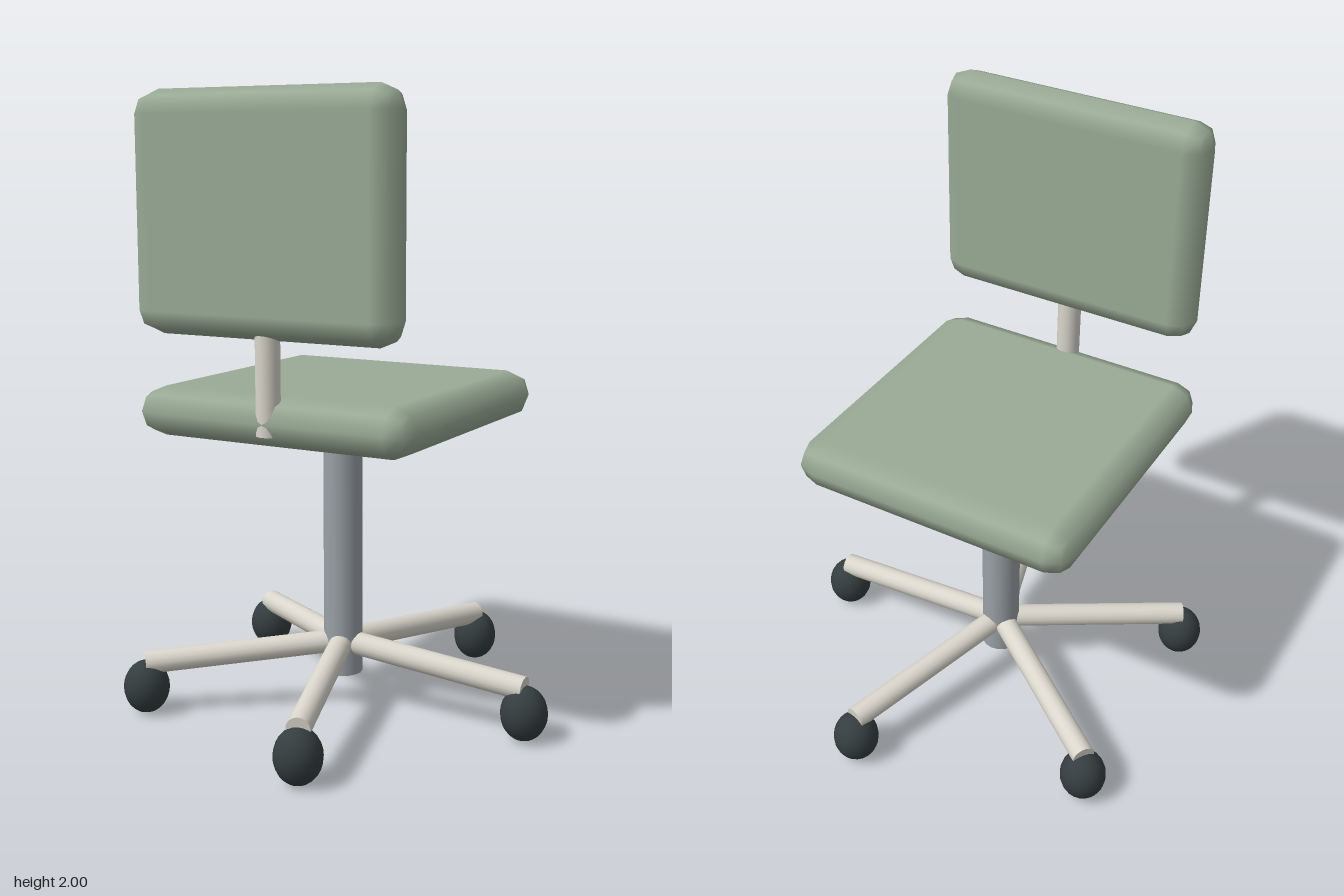
import * as THREE from 'three';
import { RoundedBoxGeometry } from 'three/addons/geometries/RoundedBoxGeometry.js';

const material = (name, color) => {
  const m = new THREE.MeshStandardMaterial({ color });
  m.name = name;
  return m;
};

export function createModel() {
  const sage = material('sage fabric', 0x9aab96);
  const steel = material('grey steel', 0x9ba1a7);
  const ivory = material('ivory metal', 0xdad6cc);
  const rubber = material('dark rubber', 0x343d3f);

  const chair = new THREE.Group();
  chair.name = 'officeChair';
  chair.position.x = -0.064; // the five-star base is wider on one side

  const add = (name, geometry, mat, x, y, z) => {
    const mesh = new THREE.Mesh(geometry, mat);
    mesh.name = name;
    mesh.position.set(x, y, z);
    chair.add(mesh);
    return mesh;
  };

  // round bar between two points
  const bar = (name, from, to, radius, mat) => {
    const dir = to.clone().sub(from);
    const mid = from.clone().add(to).multiplyScalar(0.5);
    const geometry = new THREE.CylinderGeometry(radius, radius, dir.length(), 16);
    const mesh = add(name, geometry, mat, mid.x, mid.y, mid.z);
    mesh.quaternion.setFromUnitVectors(new THREE.Vector3(0, 1, 0), dir.normalize());
  };

  // cushions with coarse rounded edges
  add('seat', new RoundedBoxGeometry(0.956, 0.156, 0.967, 1, 0.078), sage, 0, 1.023, 0);
  add('backrest', new RoundedBoxGeometry(0.898, 0.73, 0.148, 1, 0.074), sage, 0, 1.635, 0.443);

  // back support and centre column
  bar('backPost', new THREE.Vector3(0, 0.985, 0.445), new THREE.Vector3(0, 1.4, 0.445), 0.038, ivory);
  bar('column', new THREE.Vector3(0, 0.115, 0), new THREE.Vector3(0, 1.0, 0), 0.064, steel);

  // five-star base with casters
  for (let i = 0; i < 5; i++) {
    const angle = (i / 5) * Math.PI * 2;
    const x = Math.cos(angle) * 0.65;
    const z = Math.sin(angle) * 0.65;
    bar('baseLeg' + (i + 1), new THREE.Vector3(0, 0.22, 0), new THREE.Vector3(x, 0.168, z), 0.038, ivory);
    const caster = add('caster' + (i + 1), new THREE.SphereGeometry(0.075, 20, 14), rubber, x, 0.0875, z);
    caster.scale.y = 0.0875 / 0.075;
  }

  const model = new THREE.Group();
  model.name = 'model';
  model.add(chair);
  return model;
}
